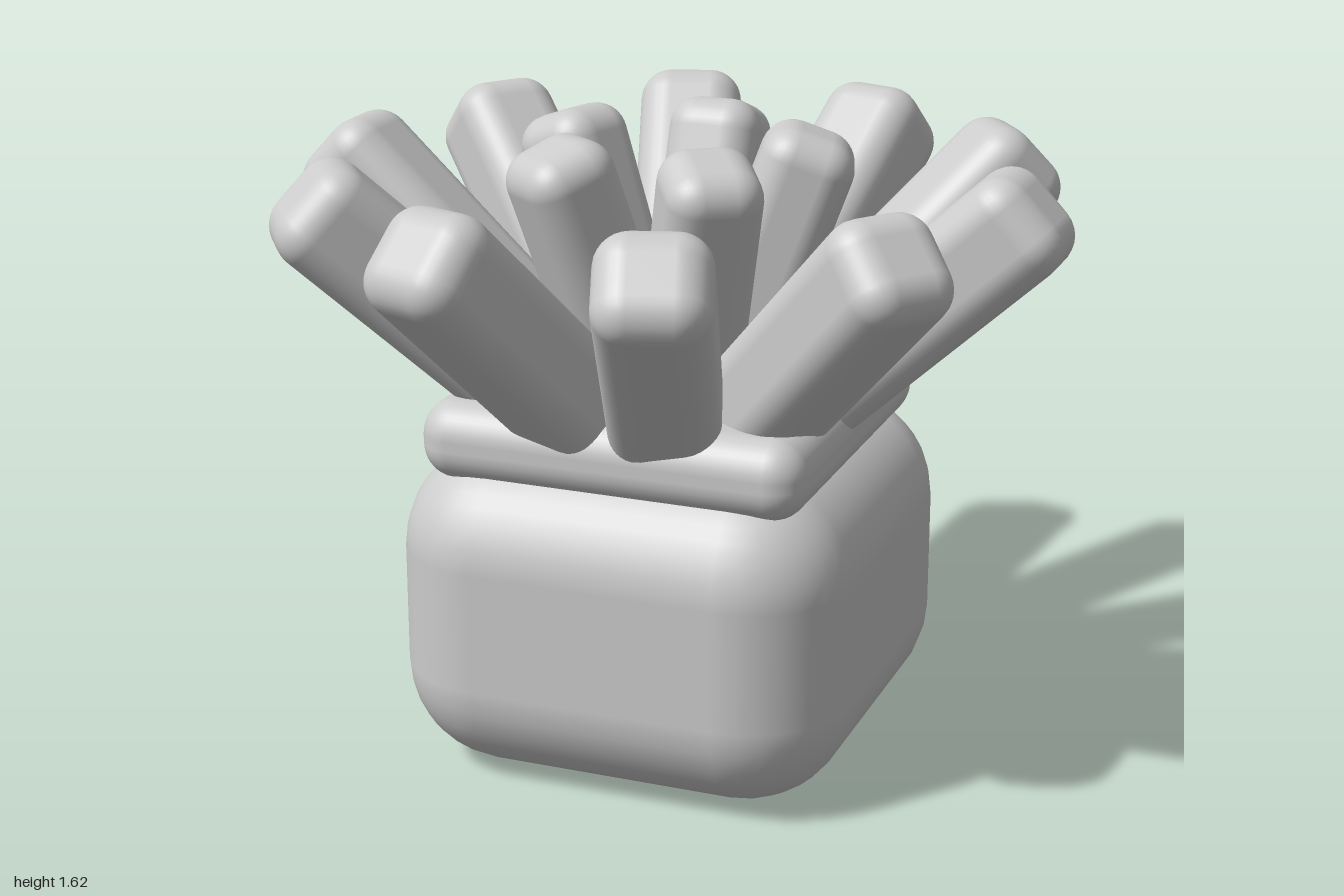
import * as THREE from 'three';
import { RoundedBoxGeometry } from 'three/addons/geometries/RoundedBoxGeometry.js';

const material = new THREE.MeshStandardMaterial({ color: 0xcccccc });

function roundedBox(name, w, h, d, radius, y) {
  const mesh = new THREE.Mesh(new RoundedBoxGeometry(w, h, d, 4, radius), material);
  mesh.name = name;
  mesh.position.y = y;
  return mesh;
}

// A ring of chunky leaves fanning out from one point inside the pot
function leafRing(name, { count, startAngle, elevation, length, thickness, radius }) {
  const ring = new THREE.Group();
  ring.name = name;
  ring.position.y = 0.62;
  for (let i = 0; i < count; i++) {
    const pivot = new THREE.Group();
    pivot.name = name + 'Leaf' + (i + 1);
    // lean the upright leaf towards +x, then turn it around the pot
    pivot.rotation.order = 'YXZ';
    pivot.rotation.y = THREE.MathUtils.degToRad(startAngle + (i * 360) / count);
    pivot.rotation.z = -THREE.MathUtils.degToRad(90 - elevation);
    pivot.add(roundedBox('leaf', thickness, length, thickness, radius, length / 2));
    ring.add(pivot);
  }
  return ring;
}

export function createModel() {
  const model = new THREE.Group();
  model.name = 'pottedSucculent';

  // Pot and its rim
  model.add(roundedBox('pot', 1.17, 0.85, 1.17, 0.27, 0.425));
  model.add(roundedBox('potRim', 1.0, 0.205, 1.0, 0.09, 0.876));

  // Wide outer leaves and steeper inner leaves
  model.add(leafRing('outerLeaves', {
    count: 10, startAngle: 0, elevation: 43, length: 1.29, thickness: 0.275, radius: 0.085,
  }));
  model.add(leafRing('innerLeaves', {
    count: 5, startAngle: 90, elevation: 70, length: 1.04, thickness: 0.24, radius: 0.08,
  }));
  return model;
}
